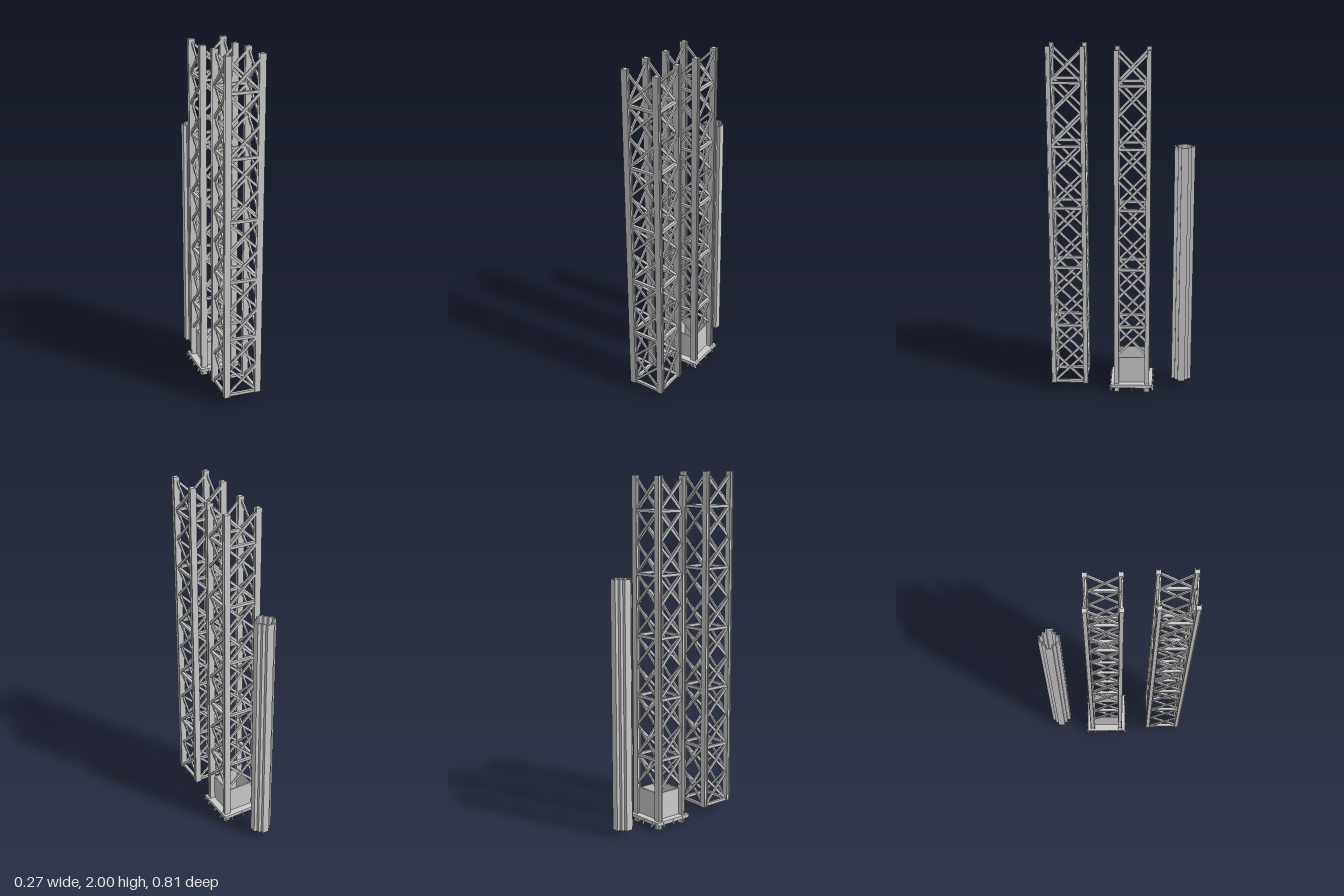
import * as THREE from 'three';

const mat = new THREE.MeshStandardMaterial({ color: 0xcccccc, flatShading: true, side: THREE.DoubleSide });

function box(parent, name, w, h, d, x, y, z) {
  const m = new THREE.Mesh(new THREE.BoxGeometry(w, h, d), mat);
  m.name = name;
  m.position.set(x, y, z);
  parent.add(m);
  return m;
}

// H-section corner post, flanges facing front and back
function post(parent, x, z, y0, y1) {
  const g = new THREE.Group();
  g.name = 'cornerPost';
  const h = y1 - y0, y = (y0 + y1) / 2;
  for (const s of [-1, 1]) box(g, 'postFlange', 0.036, h, 0.005, 0, y, s * 0.0105);
  box(g, 'postWeb', 0.022, h, 0.016, 0, y, 0);
  g.position.set(x, 0, z);
  parent.add(g);
}

// One braced side: rails every second panel and a crossed pair of diagonals in each panel
function bracedSide(span, y0, step, first, count) {
  const g = new THREE.Group();
  g.name = 'bracedSide';
  const w = span - 0.02;
  for (let i = first; i < count; i++) {
    const y = y0 + i * step;
    if (i % 2 === 0) box(g, 'rail', w, 0.016, 0.016, 0, y, 0);
    for (const s of [-1, 1]) {
      const d = box(g, 'diagonal', Math.hypot(w, step - 0.012), 0.014, 0.009, 0, y + step / 2, s * 0.0045);
      d.rotation.z = s * Math.atan2(step - 0.012, w);
    }
  }
  return g;
}

// Square lattice tower
function tower(name, zc, hz, postBottom, postTop, y0, step, first, twist) {
  const g = new THREE.Group();
  g.name = name;
  const hx = 0.093;
  for (const sx of [-1, 1]) for (const sz of [-1, 1]) post(g, sx * hx, sz * hz, postBottom, postTop);
  for (const s of [-1, 1]) {
    const f = bracedSide(2 * hx, y0, step, first, 11);
    f.position.z = s * hz;
    f.rotation.y = -twist + (s < 0 ? Math.PI : 0);
    g.add(f);
    const e = bracedSide(2 * hz, y0, step, first, 11);
    e.position.x = s * hx;
    e.rotation.y = s * Math.PI / 2;
    g.add(e);
  }
  g.position.z = zc;
  return g;
}

// Square ring extruded upwards
function ring(name, ox, oz, ix, iz, y, h) {
  const rect = (C, a, b) => new C([[-a, -b], [a, -b], [a, b], [-a, b]].map(p => new THREE.Vector2(...p)));
  const s = rect(THREE.Shape, ox, oz);
  s.holes.push(rect(THREE.Path, ix, iz));
  const geo = new THREE.ExtrudeGeometry(s, { depth: h, bevelEnabled: false });
  geo.rotateX(-Math.PI / 2);
  const m = new THREE.Mesh(geo, mat);
  m.name = name;
  m.position.y = y;
  return m;
}

// Base frame with box collar and a row of cutting teeth
function base() {
  const g = new THREE.Group();
  g.name = 'cuttingBase';
  g.add(ring('basePlate', 0.121, 0.121, 0.075, 0.073, 0.03, 0.02));
  g.add(ring('collar', 0.081, 0.082, 0.075, 0.073, 0.05, 0.156));
  const s = new THREE.Shape([[-0.012, 0.048], [0, 0.048], [0.012, 0.014], [-0.004, 0.02]].map(p => new THREE.Vector2(...p)));
  const geo = new THREE.ExtrudeGeometry(s, { depth: 0.005, bevelEnabled: false });
  geo.translate(0, 0, -0.0025);
  const tooth = (x, z, a) => {
    const m = new THREE.Mesh(geo, mat);
    m.name = 'tooth';
    m.position.set(x, 0, z);
    m.rotation.y = a;
    g.add(m);
  };
  for (let k = 0; k < 4; k++) {
    const a = k * Math.PI / 2, c = Math.cos(a), n = Math.sin(a), r = 0.121;
    for (const t of [-0.073, 0, 0.073]) tooth(r * c + t * n, -r * n + t * c, a);
    tooth(r * (c + n), r * (c - n), a + Math.PI / 4);
  }
  g.position.z = -0.062;
  return g;
}

// Hollow stepped-cross tube
function crossTube() {
  const outline = (t) => {
    const a = 0.02 - t, b = 0.038 - t, c = 0.057 - t;
    const q = [[c, a], [b, a], [b, b], [a, b], [a, c]];
    const pts = [];
    for (let k = 0; k < 4; k++) {
      for (const [x, y] of [[c, -a], ...q.slice(0, 4)]) {
        const r = [[x, y], [-y, x], [-x, -y], [y, -x]][k];
        pts.push(new THREE.Vector2(r[0], r[1]));
      }
    }
    return pts;
  };
  const s = new THREE.Shape(outline(0));
  s.holes.push(new THREE.Path(outline(0.006)));
  const geo = new THREE.ExtrudeGeometry(s, { depth: 1.4, bevelEnabled: false });
  geo.rotateX(-Math.PI / 2);
  const m = new THREE.Mesh(geo, mat);
  m.name = 'crossTube';
  m.position.set(-0.022, 0.04, -0.352);
  return m;
}

export function createModel() {
  const model = new THREE.Group();
  model.name = 'latticeTowers';
  model.add(
    tower('frontTower', 0.297, 0.092, 0.05, 2.0, 0.06, 0.1745, 0, 0.045),
    tower('middleTower', -0.063, 0.088, 0.0, 1.98, 0.055, 0.1735, 1, 0.02),
    base(),
    crossTube()
  );
  return model;
}
